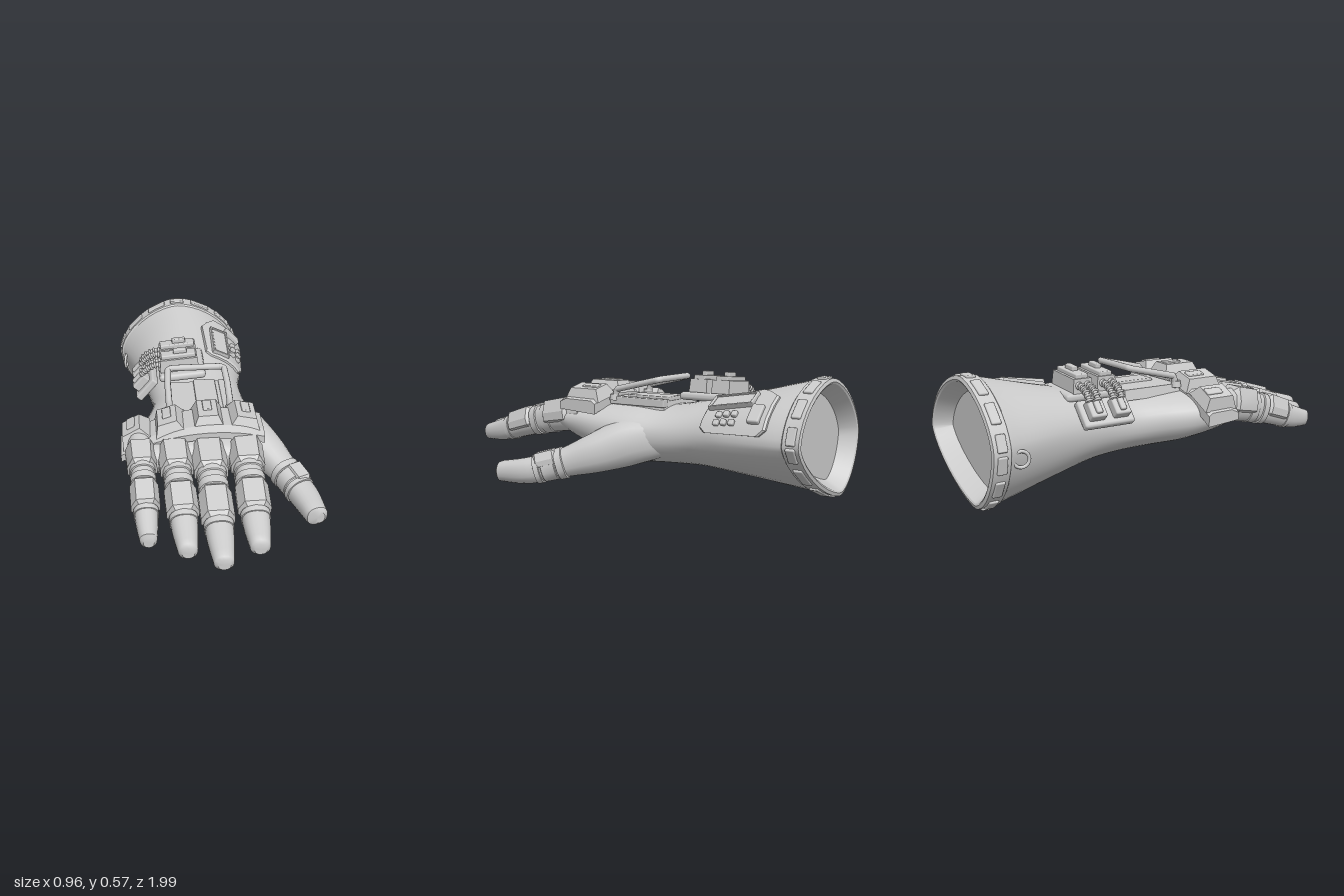
import * as THREE from 'three';
import { toCreasedNormals } from 'three/addons/utils/BufferGeometryUtils.js';
import { RoundedBoxGeometry } from 'three/addons/geometries/RoundedBoxGeometry.js';

const material = new THREE.MeshStandardMaterial({ color: 0xcccccc, roughness: 0.7 });
const V = (x, y, z) => new THREE.Vector3(x, y, z);

function add(parent, name, geometry, x = 0, y = 0, z = 0, rz = 0) {
  const m = new THREE.Mesh(geometry, material);
  m.name = name;
  m.position.set(x, y, z);
  m.rotation.z = rz;
  parent.add(m);
  return m;
}
function addGroup(parent, name, x = 0, y = 0, z = 0, rz = 0) {
  const g = new THREE.Group();
  g.name = name;
  g.position.set(x, y, z);
  g.rotation.z = rz;
  parent.add(g);
  return g;
}

// Skin a list of closed cross-section rings, capped at both ends
function loft(rings, crease = 0.6) {
  const n = rings[0].length, pos = [], idx = [];
  rings.forEach(r => r.forEach(p => pos.push(p.x, p.y, p.z)));
  for (let i = 0; i < rings.length - 1; i++) for (let j = 0; j < n; j++) {
    const a = i * n + j, b = i * n + (j + 1) % n;
    idx.push(a, b, a + n, b, b + n, a + n);
  }
  [0, rings.length - 1].forEach((r, end) => {
    const c = V(0, 0, 0);
    rings[r].forEach(p => c.addScaledVector(p, 1 / n));
    const k = pos.length / 3;
    pos.push(c.x, c.y, c.z);
    for (let j = 0; j < n; j++) {
      const a = r * n + j, b = r * n + (j + 1) % n;
      end ? idx.push(k, a, b) : idx.push(k, b, a);
    }
  });
  const g = new THREE.BufferGeometry();
  g.setAttribute('position', new THREE.Float32BufferAttribute(pos, 3));
  g.setIndex(idx);
  return toCreasedNormals(g, crease);
}

// Catmull-Rom sample of a table of rows, t from 0 to 1
function sample(rows, t) {
  const f = Math.min(t * (rows.length - 1), rows.length - 1 - 1e-6), i = Math.floor(f), u = f - i;
  const at = k => rows[Math.max(0, Math.min(rows.length - 1, k))];
  return rows[0].map((_, c) => {
    const [p, q, r, s] = [at(i - 1)[c], at(i)[c], at(i + 1)[c], at(i + 2)[c]];
    return q + 0.5 * u * (r - p + u * (2 * p - 5 * q + 4 * r - s + u * (3 * (q - r) + s - p)));
  });
}
const smooth = (rows, n) => Array.from({ length: n + 1 }, (_, i) => sample(rows, i / n));

// Arm section of four quarter curves: [z, xLow, xHigh, yTop, yBottom, xTop, xBottom, yMiddle, exponent]
const arm = smooth([
  [-0.9, -0.455, 0.19, 0.56, 0.018, -0.14, -0.26, 0.29, 1.15], [-0.8, -0.42, 0.195, 0.535, 0.035, -0.13, -0.24, 0.29, 1.12],
  [-0.6, -0.365, 0.187, 0.487, 0.075, -0.12, -0.2, 0.29, 1.05], [-0.4, -0.325, 0.158, 0.445, 0.11, -0.1, -0.14, 0.28, 0.98],
  [-0.22, -0.31, 0.17, 0.41, 0.12, -0.09, -0.07, 0.27, 0.92], [-0.05, -0.35, 0.205, 0.41, 0.122, -0.08, -0.01, 0.28, 0.9],
  [0.1, -0.405, 0.205, 0.41, 0.14, -0.08, -0.03, 0.29, 0.88], [0.25, -0.44, 0.19, 0.41, 0.185, -0.1, -0.08, 0.31, 0.88],
  [0.35, -0.44, 0.18, 0.395, 0.235, -0.12, -0.12, 0.32, 0.88], [0.39, -0.4, 0.15, 0.36, 0.27, -0.12, -0.12, 0.32, 0.9]], 54);
function armPoint([z, x0, x1, yT, yB, xT, xB, yM, e], a, grow = 0) {
  const c = Math.cos(a), s = Math.sin(a), xc = s > 0 ? xT : xB;
  // the thumb-side underside and the outer top are flatter where the sleeve widens
  const power = Math.max(e, e ** (c > 0 && s < 0 ? 2.3 : c < 0 && s > 0 ? 1.5 : 1));
  const p = v => Math.sign(v) * Math.abs(v) ** power;
  return V(xc + p(c) * (c > 0 ? x1 - xc : xc - x0) + c * grow, yM + p(s) * (s > 0 ? yT - yM : yM - yB) + s * grow, z);
}
const armRing = (row, grow = 0) => Array.from({ length: 40 }, (_, j) => armPoint(row, j / 40 * Math.PI * 2, grow));
const armAt = z => [z, ...arm.find(r => r[0] >= z).slice(1)];

// Limb along rows of [x, y, z, halfWidth, halfHeight] with a unit cross-section
const round = Array.from({ length: 20 }, (_, j) => {
  const a = j / 20 * Math.PI * 2, e = v => Math.sign(v) * Math.abs(v) ** 0.85;
  return [e(Math.cos(a)), e(Math.sin(a))];
});
const plated = [[1, -0.15], [1, 0.3], [0.62, 1], [-0.62, 1], [-1, 0.3], [-1, -0.15], [-0.7, -0.35], [0.7, -0.35]];
function limb(rows, section, crease) {
  return loft(rows.map((r, i) => {
    const p = rows[Math.max(0, i - 1)], q = rows[Math.min(rows.length - 1, i + 1)];
    const t = V(q[0] - p[0], q[1] - p[1], q[2] - p[2]).normalize();
    const right = V(0, 1, 0).cross(t).normalize(), up = t.clone().cross(right);
    return section.map(([u, v]) => V(r[0], r[1], r[2]).addScaledVector(right, u * r[3]).addScaledVector(up, v * r[4]));
  }), crease);
}
// Bevelled sleeve over part of a limb
function sleeve(rows, t0, t1, section, grow) {
  return limb([[0, -0.008], [0.12, grow], [0.88, grow], [1, -0.008]].map(([u, g]) => {
    const r = sample(rows, t0 + (t1 - t0) * u);
    return [r[0], r[1], r[2], r[3] + g, r[4] + g];
  }), section, 0.4);
}
// Limb body with a blunt rounded tip
function limbBody(rows) {
  const body = smooth(rows, 24), [x, y, z, w, h] = body.pop();
  body.push([x, y, z - 0.012, w, h], [x, y, z, w * 0.65, h * 0.65]);
  return limb(body, round, 0.7);
}
// Box whose top is narrowed
function taperBox(w, h, d, tx, tz) {
  const g = new THREE.BoxGeometry(w, h, d), p = g.attributes.position;
  for (let i = 0; i < p.count; i++) if (p.getY(i) > 0) p.setXYZ(i, p.getX(i) * tx, p.getY(i), p.getZ(i) * tz);
  return toCreasedNormals(g, 0.3);
}
const rbox = (w, h, d, r = 0.006) => new RoundedBoxGeometry(w, h, d, 1, r);

function buildCuff(root) {
  const cuff = addGroup(root, 'cuff');
  const at = (z, grow) => armRing([z, ...arm[0].slice(1)], grow);
  add(cuff, 'cuffRim', loft([at(-0.91, -0.06), at(-0.985, -0.015), at(-0.99, -0.006), at(-0.985, 0.01), at(-0.905, 0.008), at(-0.89, -0.01)], 0.5));
  // raised pads round the rim
  for (let i = 0; i < 14; i++) {
    const a = (i + 0.5) / 7 * Math.PI, h = 0.35 * Math.PI / 7;
    const p = armPoint(arm[0], a - h, 0.012), q = armPoint(arm[0], a + h, 0.012);
    const m = armPoint(arm[0], a, 0.006), rz = Math.atan2(q.y - p.y, q.x - p.x);
    add(cuff, 'cuffPad', rbox(p.distanceTo(q), 0.02, 0.045), m.x, m.y, -0.945, rz);
  }
  add(cuff, 'sideLoop', new THREE.TorusGeometry(0.035, 0.008, 8, 20), -0.44, 0.25, -0.85).rotation.y = Math.PI / 2 - 0.2;
}

function buildFinger(root, name, x0, x1, tip, w) {
  const g = addGroup(root, name);
  const rows = [[0, 0.34, 0.068, 0.083], [0.2, 0.325, 0.067, 0.08], [0.4, 0.298, 0.061, 0.073], [0.6, 0.262, 0.061, 0.067],
    [0.8, 0.223, 0.058, 0.059], [1, 0.198, 0.041, 0.04]]
    .map(([t, y, a, b]) => [x0 + (x1 - x0) * t, y, 0.24 + (tip - 0.24) * t, a * w, b]);
  add(g, 'fingerBody', limbBody(rows));
  add(g, 'lowerPlate', sleeve(rows, 0.1, 0.35, plated, 0.013));
  add(g, 'lowerPlateCollar', sleeve(rows, 0.28, 0.38, round, 0.005));
  add(g, 'jointRing', sleeve(rows, 0.41, 0.48, round, 0.007));
  add(g, 'middlePlate', sleeve(rows, 0.47, 0.71, plated, 0.012));
  add(g, 'tipRing', sleeve(rows, 0.7, 0.75, round, 0.004));
}

function buildThumb(root) {
  const g = addGroup(root, 'thumb');
  const rows = [[0.09, 0.255, -0.22, 0.06, 0.09], [0.14, 0.228, -0.05, 0.105, 0.116], [0.242, 0.175, 0.08, 0.09, 0.096],
    [0.312, 0.133, 0.19, 0.07, 0.073], [0.356, 0.106, 0.28, 0.067, 0.068], [0.4, 0.081, 0.38, 0.067, 0.064], [0.432, 0.07, 0.527, 0.051, 0.05]];
  add(g, 'thumbBody', limbBody(rows));
  add(g, 'thumbBand', sleeve(rows, 0.51, 0.58, round, 0.008));
  add(g, 'thumbMiddle', sleeve(rows, 0.57, 0.71, round, 0.004));
  add(g, 'thumbTipCollar', sleeve(rows, 0.71, 0.76, round, 0.007));
  add(g, 'thumbPlate', sleeve(rows.map(r => [r[0] + 0.022, r[1] + 0.022, r[2], r[3] * 0.65, r[4] * 0.75]), 0.55, 0.74, plated, 0.006));
}

function buildKnuckleGuard(root) {
  const g = addGroup(root, 'knuckleGuard');
  const arch = x => 0.45 - 0.72 * (x + 0.04) ** 2;
  const rings = Array.from({ length: 25 }, (_, i) => {
    const x = -0.475 + i / 24 * 0.675, y = arch(x), f = 0.345 - 0.3 * (x + 0.03) ** 2, b = 0.11;
    return [[f, -0.035], [b, -0.05], [b, 0], [b + 0.02, 0.015], [f - 0.04, 0.018], [f, 0]].map(([z, h]) => V(x, y + h, z));
  });
  add(g, 'guardBand', loft(rings, 0.4));
  [-0.41, -0.245, -0.06, 0.115].forEach((x, i) => {
    const block = addGroup(g, 'knuckleBlock', x, arch(x) + (i ? 0.027 : 0.042), i ? 0.205 : 0.19, Math.atan(-1.44 * (x + 0.04)));
    add(block, 'blockBody', taperBox(0.15, 0.06, i ? 0.21 : 0.18, 0.62, 0.75));
    add(block, 'blockSlot', rbox(0.042, 0.014, 0.09, 0.005), 0, 0.031, -0.02);
  });
}

function buildHandBack(root) {
  add(root, 'backPlate', taperBox(0.31, 0.05, 0.32, 0.94, 0.95), -0.09, 0.41, -0.05);
  add(root, 'backPanel', rbox(0.11, 0.02, 0.25), -0.045, 0.437, -0.08);
  add(root, 'sideRail', rbox(0.045, 0.04, 0.32), 0.05, 0.42, -0.05);
  // bent grab handle
  const path = new THREE.CurvePath(), half = [[0.1475, 0.42, 0.09], [0.1475, 0.475, 0.075], [0.1475, 0.505, -0.05], [0.142, 0.53, -0.155], [0.122, 0.534, -0.168]];
  const pts = [...half.map(([x, y, z]) => V(-0.0875 - x, y, z)), ...half.reverse().map(([x, y, z]) => V(-0.0875 + x, y, z))];
  for (let i = 0; i < pts.length - 1; i++) path.add(new THREE.LineCurve3(pts[i], pts[i + 1]));
  add(root, 'handle', new THREE.TubeGeometry(path, 120, 0.016, 10));
  [-0.235, 0.06].forEach(x => add(root, 'handleFoot', new THREE.CylinderGeometry(0.022, 0.026, 0.03, 12), x, 0.435, 0.09));
}

function buildPouches(root) {
  const main = addGroup(root, 'topPouches', -0.15, 0.445, -0.38, 0.08);
  const side = addGroup(root, 'sidePouches', -0.335, 0.37, -0.375, 0.85);
  add(main, 'pouchBase', rbox(0.24, 0.04, 0.3, 0.018));
  add(side, 'pouchBase', rbox(0.14, 0.04, 0.26, 0.012));
  [-0.065, 0.06].forEach(z => {
    add(main, 'pouchBody', taperBox(0.2, 0.07, 0.1, 0.96, 0.92), -0.01, 0.05, z);
    add(main, 'pouchLid', rbox(0.18, 0.025, 0.065), -0.01, 0.092, z);
    add(main, 'pouchClasp', rbox(0.07, 0.04, 0.03), 0, 0.105, z);
    add(side, 'pouchBody', rbox(0.09, 0.05, 0.08, 0.008), 0, 0.035, z);
    add(side, 'pouchClasp', rbox(0.06, 0.02, 0.03), 0, 0.064, z);
    // ribbed hoses joining the two units
    [-0.022, 0.022].forEach(dz => {
      const w = -0.38 + z + dz;
      const curve = new THREE.CatmullRomCurve3([V(-0.36, 0.43, w), V(-0.335, 0.465, w), V(-0.285, 0.49, w), V(-0.235, 0.485, w)]);
      add(root, 'hose', new THREE.TubeGeometry(curve, 20, 0.012, 8));
      for (let i = 0; i < 7; i++) {
        const p = curve.getPointAt((i + 0.5) / 7), rib = add(root, 'hoseRib', new THREE.TorusGeometry(0.013, 0.006, 6, 12), p.x, p.y, p.z);
        rib.lookAt(p.clone().add(curve.getTangentAt((i + 0.5) / 7)));
      }
    });
  });
}

function buildControlPanel(root) {
  const g = addGroup(root, 'controlPanel');
  // plate wrapped round the sleeve, with cut corners: [angle, back z, front z]
  const outline = [[1.2, -0.72, -0.5], [1.1, -0.77, -0.475], [0.95, -0.82, -0.47], [0.75, -0.82, -0.47], [0.5, -0.82, -0.47], [0.3, -0.82, -0.47], [0.18, -0.79, -0.5]];
  add(g, 'panelPlate', loft(outline.map(([a, b, f]) =>
    [[f, -0.02], [b, -0.02], [b, 0.012], [b + 0.01, 0.02], [f - 0.01, 0.02], [f, 0.012]].map(([z, h]) => armPoint(armAt(z), a, h))), 0.5));
  // frame lying on the plate at an angle and a distance along the arm
  const spot = (name, a, z) => {
    const p = armPoint(armAt(z), a, 0.02), q = armPoint(armAt(z), a + 0.1, 0.02), r = armPoint(armAt(z), a - 0.1, 0.02);
    return addGroup(g, name, p.x, p.y, z, Math.atan2(r.y - q.y, r.x - q.x));
  };
  const screen = spot('screen', 0.92, -0.6);
  screen.rotation.x = 0.15;
  add(screen, 'screenGlass', rbox(0.085, 0.014, 0.21));
  [-1, 1].forEach(k => {
    add(screen, 'screenFrame', rbox(0.012, 0.026, 0.23, 0.004), k * 0.044);
    add(screen, 'screenFrame', rbox(0.09, 0.026, 0.012, 0.004), 0, 0, k * 0.11);
  });
  for (let i = 0; i < 6; i++)
    add(spot('button', 0.6 - (i % 2) * 0.18, -0.56 - Math.floor(i / 2) * 0.042), 'buttonCap', rbox(0.03, 0.022, 0.028));
  add(spot('switch', 0.58, -0.755), 'switchBlock', rbox(0.1, 0.03, 0.06, 0.008));
}

export function createModel() {
  const root = new THREE.Group();
  root.name = 'armouredGlove';
  add(root, 'forearmAndPalm', loft(arm.map(r => armRing(r)), 0.9));
  buildCuff(root);
  [['littleFinger', -0.385, -0.365, 0.82, 0.88], ['ringFinger', -0.23, -0.2, 0.91, 1],
    ['middleFinger', -0.07, -0.055, 1, 1.04], ['indexFinger', 0.105, 0.11, 0.91, 1.04]].forEach(f => buildFinger(root, ...f));
  buildThumb(root);
  buildKnuckleGuard(root);
  buildHandBack(root);
  buildPouches(root);
  buildControlPanel(root);
  return root;
}
